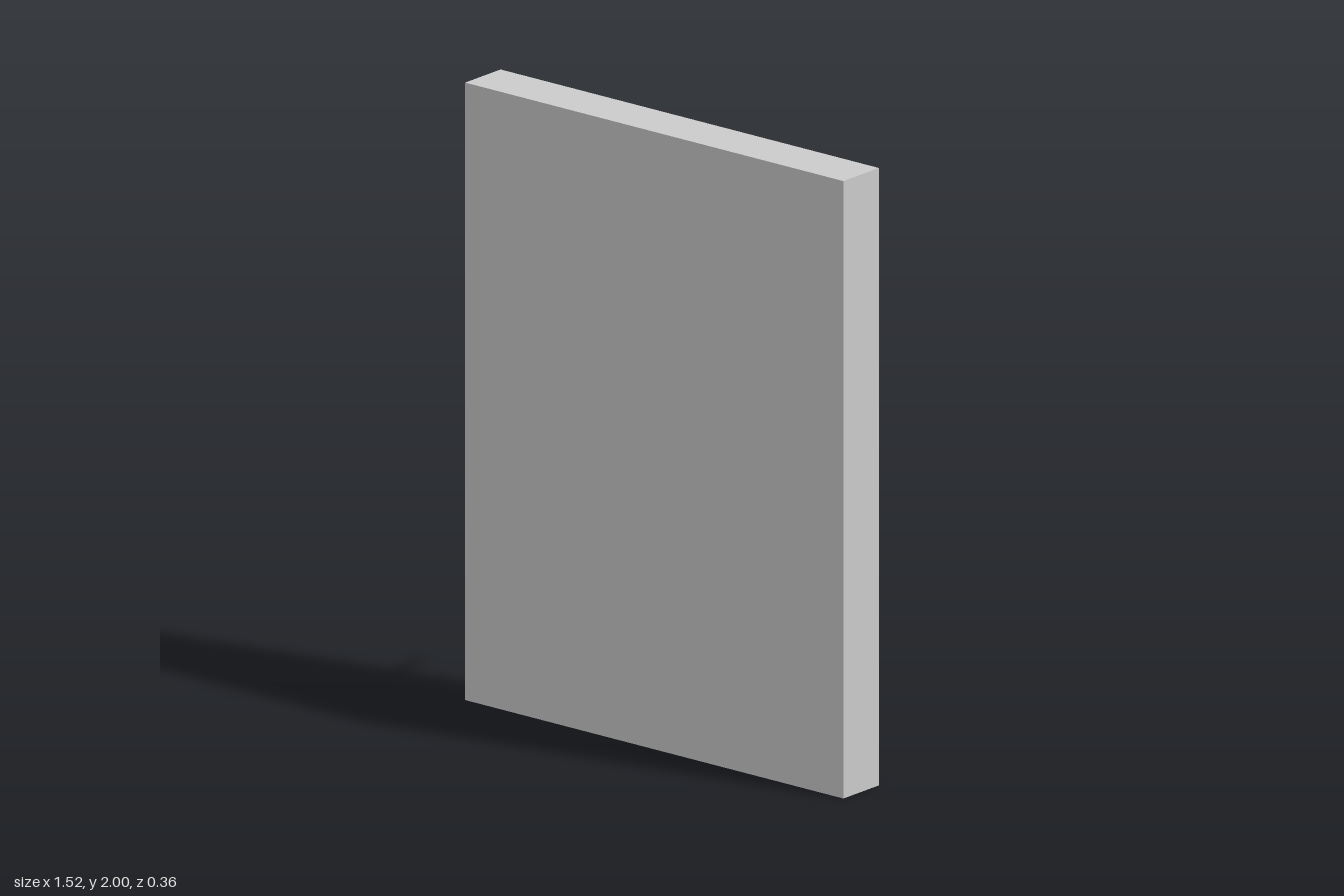
import * as THREE from 'three';

export function createModel() {
  const model = new THREE.Group();
  const mat = (color) => new THREE.MeshStandardMaterial({ color });
  const slabMat = mat(0xcccccc), panelMat = mat(0xacb8ab);
  const studMat = mat(0x333333), pegMat = mat(0x666666);

  const add = (name, geometry, material, x, y, z) => {
    const mesh = new THREE.Mesh(geometry, material);
    mesh.name = name;
    mesh.position.set(x, y, z);
    model.add(mesh);
  };

  // Cylinder lying along z, placed from zBack to zFront
  const rod = (name, r, zBack, zFront, material, x, y) => {
    const geometry = new THREE.CylinderGeometry(r, r, zFront - zBack, 16).rotateX(Math.PI / 2);
    add(name, geometry, material, x, y, (zBack + zFront) / 2);
  };

  // Thick slab with a thin panel on its back
  add('slab', new THREE.BoxGeometry(1.52, 2, 0.17), slabMat, 0, 1, 0.097);
  add('backPanel', new THREE.BoxGeometry(1.33, 1.7, 0.01), panelMat, 0, 1, 0.011);

  // Six by six grid of studs
  for (let row = 0; row < 6; row++) {
    for (let col = 0; col < 6; col++) {
      rod('stud', 0.014, -0.004, 0.012, studMat, (col - 2.5) * 0.226, 1.003 + (row - 2.5) * 0.256);
    }
  }

  // Two pegs at different heights
  rod('leftPeg', 0.0135, -0.182, 0.012, pegMat, 0.486, 0.922);
  rod('rightPeg', 0.0135, -0.182, 0.012, pegMat, -0.488, 0.765);

  return model;
}
